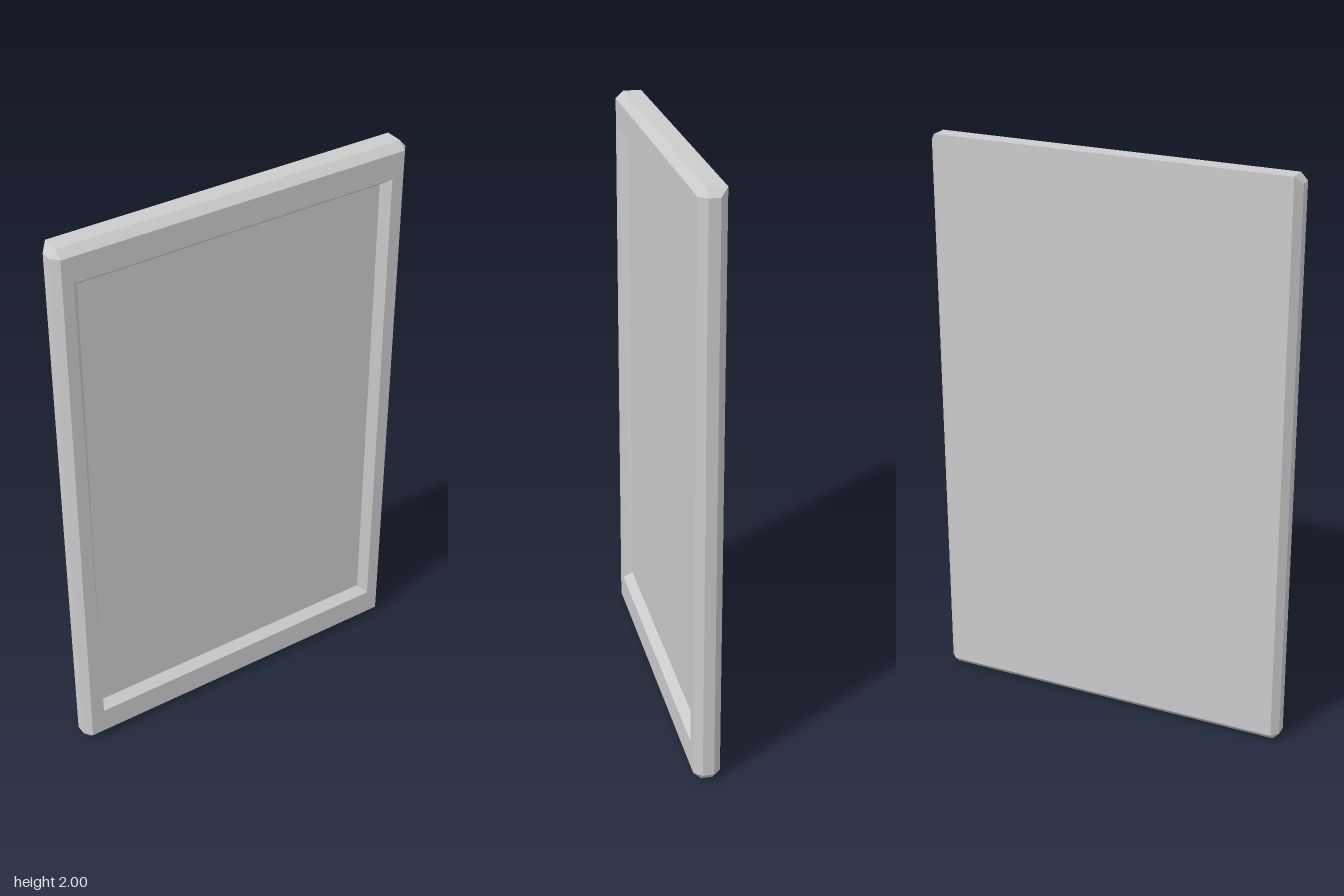
import * as THREE from 'three';

// Eight-point rectangular ring, counter-clockwise from the front.
// cx, cb, ct: corner cuts along x, and along y at the bottom and top.
function ring(x0, x1, y0, y1, z, cx = 0, cb = 0, ct = 0) {
  return [
    [x0 + cx, y0], [x1 - cx, y0], [x1, y0 + cb], [x1, y1 - ct],
    [x1 - cx, y1], [x0 + cx, y1], [x0, y1 - ct], [x0, y0 + cb],
  ].map(([x, y]) => new THREE.Vector3(x, y, z));
}

// Flat-shaded skin over consecutive rings, optionally capped at each end.
function skin(rings, capStart, capEnd) {
  const pos = [];
  const tri = (a, b, c) => {
    const area = b.clone().sub(a).cross(c.clone().sub(a)).length();
    if (area > 1e-7) for (const p of [a, b, c]) pos.push(p.x, p.y, p.z);
  };
  for (let r = 0; r < rings.length - 1; r++) {
    const a = rings[r], b = rings[r + 1];
    for (let i = 0; i < 8; i++) {
      const j = (i + 1) % 8;
      tri(a[i], a[j], b[j]);
      tri(a[i], b[j], b[i]);
    }
  }
  const first = rings[0], last = rings[rings.length - 1];
  for (let i = 1; i < 7; i++) {
    if (capStart) tri(first[0], first[i + 1], first[i]);
    if (capEnd) tri(last[0], last[i], last[i + 1]);
  }
  const geo = new THREE.BufferGeometry();
  geo.setAttribute('position', new THREE.Float32BufferAttribute(pos, 3));
  geo.computeVertexNormals();
  return geo;
}

export function createModel() {
  const group = new THREE.Group();
  group.name = 'framedPanel';
  const material = new THREE.MeshStandardMaterial({ color: 0xcccccc, flatShading: true });
  const add = (name, geo) => {
    const mesh = new THREE.Mesh(geo, material);
    mesh.name = name;
    group.add(mesh);
  };

  const c = 0.025; // bevel size
  const back = ring(-0.62, 0.62, c, 2, -0.045); // top back edge stays square
  const sideBack = ring(-0.643, 0.643, 0, 2, -0.02, 0.023, c, c);
  const sideFront = ring(-0.643, 0.643, 0, 2, 0.018, 0.023, c, c);
  const front = ring(-0.62, 0.62, c, 2 - c, 0.045);
  const lip = ring(-0.582, 0.577, 0.12, 1.885, 0.045);
  const recess = ring(-0.556, 0.552, 0.145, 1.86, 0.013);

  // The opening narrows slightly at its lower left corner
  for (const i of [0, 7]) lip[i].x = -0.571;

  // Bevelled frame with closed back
  add('frame', skin([back, sideBack, sideFront, front, lip, recess], true, false));
  // Recessed flat panel
  add('panel', skin([recess], false, true));
  return group;
}
